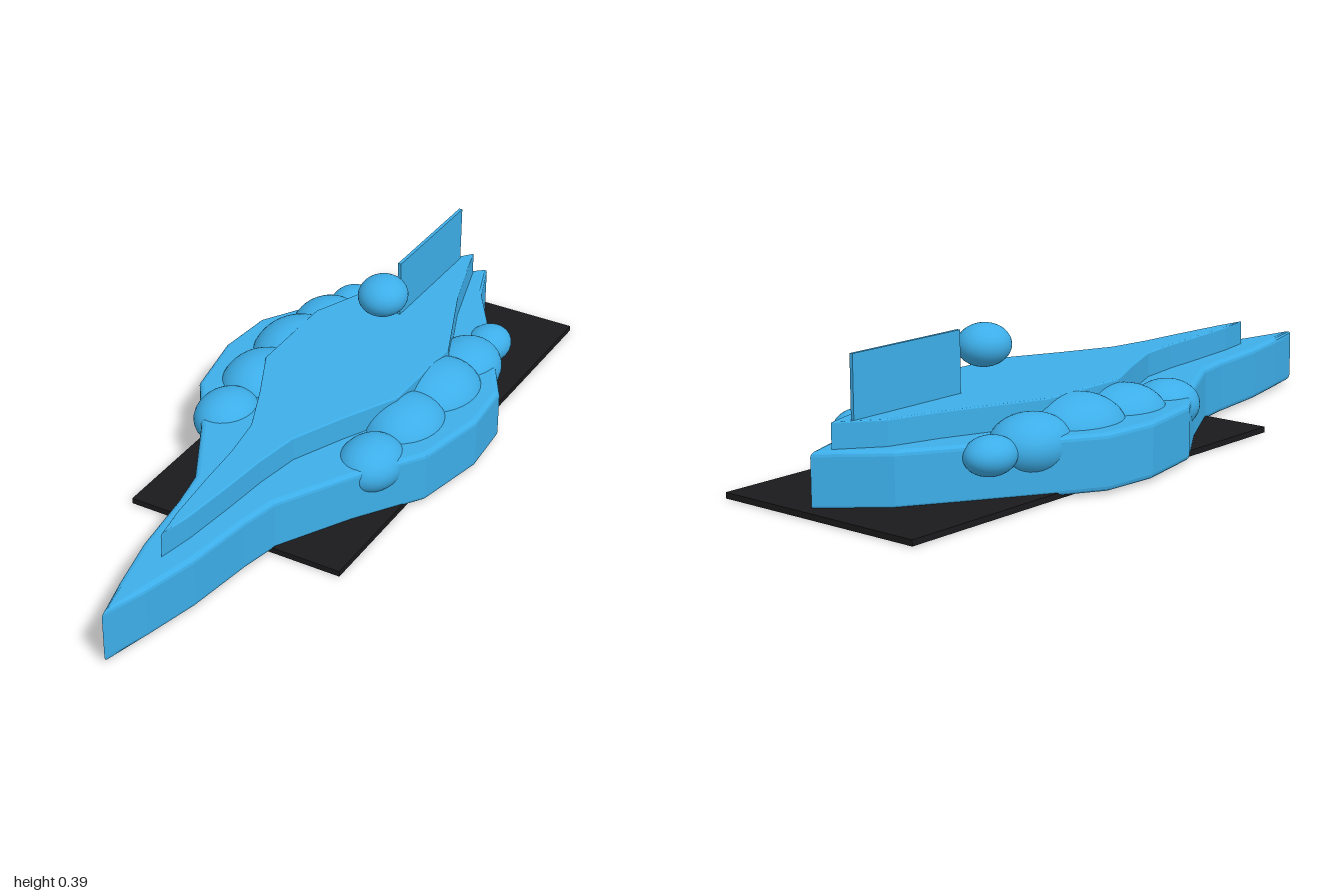
import * as THREE from 'three';

const blue = new THREE.MeshStandardMaterial({ color: 0x3daee9 });
const black = new THREE.MeshStandardMaterial({ color: 0x1a1a1c });

function add(parent, name, geometry, material, x = 0, y = 0, z = 0) {
  const mesh = new THREE.Mesh(geometry, material);
  mesh.name = name;
  mesh.position.set(x, y, z);
  parent.add(mesh);
  return mesh;
}

// Horizontal slab with rounded edges from [x, z] half outline, mirrored, between front tip and stern tip
function slab(front, side, stern, y0, y1, bevel) {
  const outline = [front, ...side, stern, ...side.map(([x, z]) => [-x, z]).reverse()];
  const shape = new THREE.Shape(outline.map(([x, z]) => new THREE.Vector2(x, -z)));
  const geometry = new THREE.ExtrudeGeometry(shape, {
    depth: y1 - y0 - 2 * bevel,
    bevelEnabled: true,
    bevelThickness: bevel,
    bevelSize: bevel,
    bevelOffset: -bevel,
    bevelSegments: 3,
  });
  return geometry.rotateX(-Math.PI / 2).translate(0, y0 + bevel, 0);
}

function ellipsoid(rx, ry, rz) {
  return new THREE.SphereGeometry(1, 32, 24).scale(rx, ry, rz);
}

export function createModel() {
  const model = new THREE.Group();
  model.name = 'speeder';

  // Dark base plate
  add(model, 'basePlate', new THREE.BoxGeometry(0.64, 0.016, 1.41), black, 0, 0.008, -0.295);

  // Hull, with the stern tip slightly off centre
  add(model, 'hull', slab([0, 1], [
    [0.037, 0.87], [0.074, 0.71], [0.1, 0.51], [0.122, 0.4], [0.235, 0.195], [0.358, 0.01],
    [0.4, -0.2], [0.388, -0.365], [0.317, -0.485], [0.19, -0.69], [0.1, -0.83],
  ], [0.05, -0.965], 0.006, 0.157, 0.014), blue);

  // Raised deck
  add(model, 'deck', slab([0, 0.74], [
    [0.018, 0.64], [0.034, 0.48], [0.045, 0.34], [0.065, 0.21], [0.13, 0.06], [0.208, -0.1],
    [0.213, -0.39], [0.1, -0.67], [0.058, -0.81],
  ], [0.026, -0.917], 0.13, 0.225, 0.004), blue);

  // Rows of pods along both sides: [z, radius]
  const pods = [[0.075, 0.088], [-0.11, 0.113], [-0.3, 0.124], [-0.475, 0.1], [-0.625, 0.063]];
  for (const side of [1, -1]) {
    const row = new THREE.Group();
    row.name = side > 0 ? 'leftPods' : 'rightPods';
    for (const [z, r] of pods) {
      add(row, 'pod', ellipsoid(r, r * 0.81, r * 1.2), blue, side * 0.226, 0.125, z);
    }
    model.add(row);
  }

  // Floating dome and tail fin
  add(model, 'dome', ellipsoid(0.07, 0.057, 0.075), blue, 0, 0.336, -0.395);
  add(model, 'tailFin', new THREE.BoxGeometry(0.01, 0.19, 0.38), blue, 0, 0.295, -0.68);

  return model;
}
